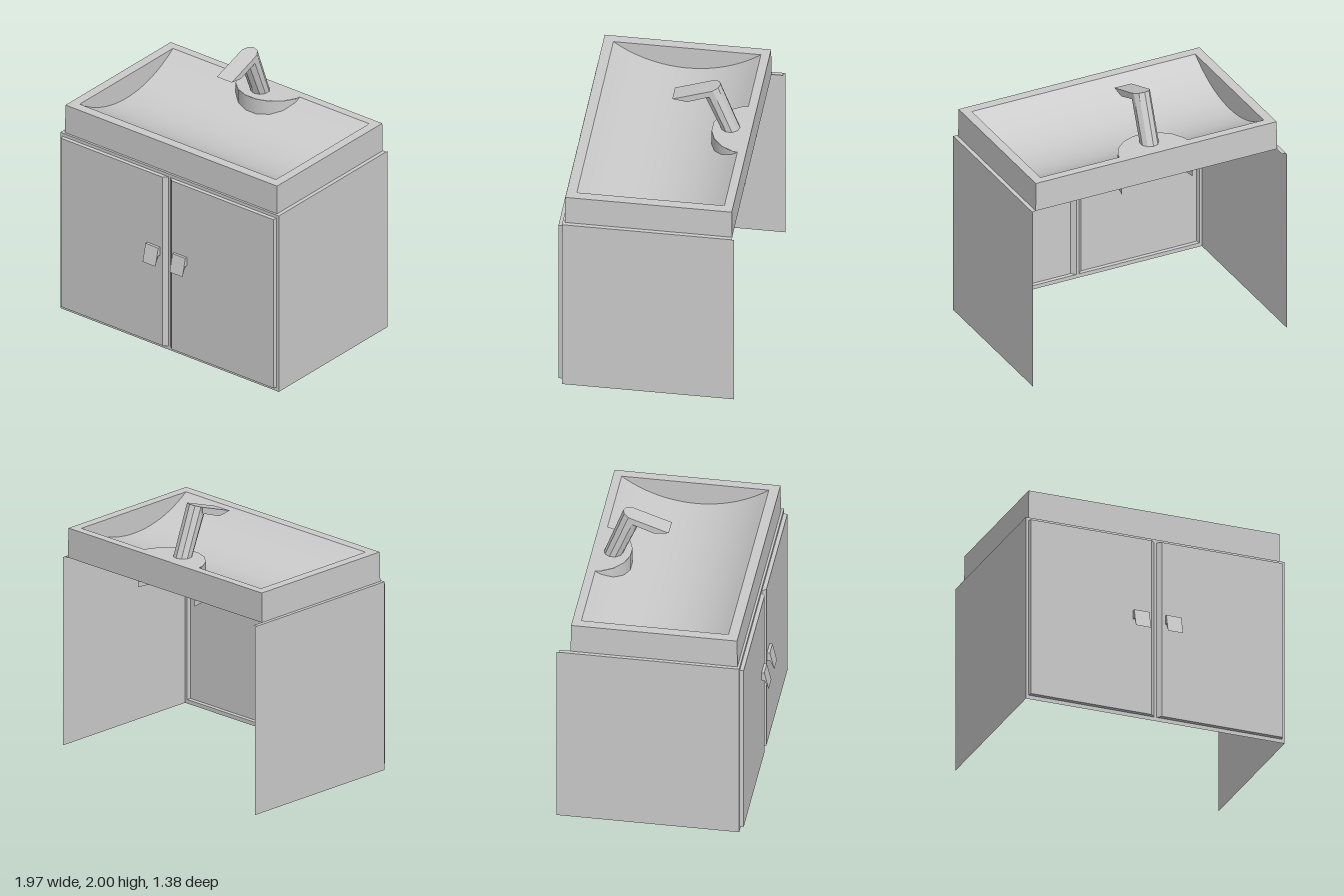
import * as THREE from 'three';
import { toCreasedNormals } from 'three/addons/utils/BufferGeometryUtils.js';

const grey = new THREE.MeshStandardMaterial({ color: 0xcccccc, side: THREE.DoubleSide });

function add(parent, name, geometry, flat = false) {
  const mesh = new THREE.Mesh(flat ? toCreasedNormals(geometry, 0.1) : geometry, grey);
  mesh.name = name;
  parent.add(mesh);
  return mesh;
}

// Skin through closed rings of [x, y, z] points, optionally capping the last ring
function loft(rings, cap = false) {
  const n = rings[0].length, index = [];
  for (let r = 0; r < rings.length - 1; r++) {
    for (let i = 0; i < n; i++) {
      const a = r * n + i, b = r * n + (i + 1) % n;
      index.push(a, b, b + n, a, b + n, a + n);
    }
  }
  const last = (rings.length - 1) * n;
  if (cap) for (let i = 1; i < n - 1; i++) index.push(last, last + i, last + i + 1);
  const g = new THREE.BufferGeometry();
  g.setAttribute('position', new THREE.Float32BufferAttribute(rings.flat(2), 3));
  g.setIndex(index);
  return toCreasedNormals(g, 0.1);
}

const rectXZ = (x0, x1, z0, z1, y) => [[x0, y, z1], [x1, y, z1], [x1, y, z0], [x0, y, z0]];
const rectXY = (x0, x1, y0, y1, z) => [[x0, y0, z], [x1, y0, z], [x1, y1, z], [x0, y1, z]];

function rectShape(x0, y0, x1, y1, Type = THREE.Shape) {
  return new Type([[x0, y0], [x1, y0], [x1, y1], [x0, y1]].map(p => new THREE.Vector2(...p)));
}

// Extrude a (z, y) outline across x, centred on x = 0
function extrudeZY(points, width) {
  const shape = new THREE.Shape(points.map(([z, y]) => new THREE.Vector2(-z, y)));
  const g = new THREE.ExtrudeGeometry(shape, { depth: width, bevelEnabled: false });
  return g.translate(0, 0, -width / 2).rotateY(Math.PI / 2);
}

function createCabinet() {
  const cabinet = new THREE.Group();
  cabinet.name = 'cabinet';
  const W = 0.985, H = 1.41, F = 0.612;

  // Open-backed carcass of thin sheets; the right panel runs deeper
  for (const [side, name, back] of [[1, 'leftPanel', -0.612], [-1, 'rightPanel', -0.69]]) {
    const depth = F - back;
    const panel = new THREE.PlaneGeometry(depth, H).rotateY(side * Math.PI / 2);
    add(cabinet, name, panel.translate(side * W, H / 2, (F + back) / 2));
    const edge = new THREE.PlaneGeometry(0.03, depth - 0.015).rotateX(-Math.PI / 2);
    add(cabinet, name + 'TopEdge', edge.translate(side * (W - 0.015), H, (F + back + 0.015) / 2));
  }
  const frontEdge = new THREE.PlaneGeometry(2 * W - 0.06, 0.03).rotateX(-Math.PI / 2);
  add(cabinet, 'frontTopEdge', frontEdge.translate(0, H, F - 0.015));

  // Front frame with two door openings
  const frame = rectShape(-W, 0, W, H);
  for (const x of [-0.965, 0.01]) frame.holes.push(rectShape(x, 0.03, x + 0.955, 1.385, THREE.Path));
  add(cabinet, 'frontFrame', new THREE.ShapeGeometry(frame).translate(0, 0, F));

  // Doors with a wide bevel toward the middle, and their pulls
  const pull = [[0.638, 0.75], [0.662, 0.75], [0.692, 0.68], [0.66, 0.815], [0.638, 0.815]];
  for (const [x0, x1, f0, f1, px, name] of [
    [0.01, 0.965, 0.04, 0.958, 0.122, 'left'],
    [-0.965, -0.01, -0.958, -0.04, -0.122, 'right'],
  ]) {
    add(cabinet, name + 'Door',
      loft([rectXY(x0, x1, 0.03, 1.385, F), rectXY(f0, f1, 0.032, 1.383, 0.64)], true));
    add(cabinet, name + 'DoorHandle', extrudeZY(pull, 0.115), true).position.x = px;
  }
  return cabinet;
}

function createSink() {
  const sink = new THREE.Group();
  sink.name = 'sink';
  const top = 1.63, X = 0.885, back = -0.53, front = 0.52;

  // Outer wall and flat rim
  add(sink, 'sinkRim', loft([
    rectXZ(-0.958, 0.955, -0.595, 0.595, 1.41),
    rectXZ(-0.955, 0.953, -0.592, 0.592, top),
    rectXZ(-X, X, back, front, top),
  ]));

  // Trough-shaped bowl: a shallow arc swept across x
  const half = (front - back) / 2, mid = (front + back) / 2, sag = 0.175;
  const R = (half * half + sag * sag) / (2 * sag);
  const arcY = z => top + R - sag - Math.sqrt(R * R - (z - mid) ** 2);
  const bowl = new THREE.PlaneGeometry(2 * X, 2 * half, 1, 24).rotateX(-Math.PI / 2).translate(0, 0, mid);
  const pos = bowl.attributes.position;
  for (let i = 0; i < pos.count; i++) pos.setY(i, arcY(pos.getZ(i)));
  bowl.computeVertexNormals();
  add(sink, 'bowl', bowl);

  // Vertical bowl ends
  const profile = new THREE.Shape();
  for (let i = 0; i <= 24; i++) {
    const z = back + (front - back) * i / 24;
    i ? profile.lineTo(-z, arcY(z)) : profile.moveTo(-z, arcY(z));
  }
  for (const side of [1, -1]) {
    const end = add(sink, side > 0 ? 'leftBowlEnd' : 'rightBowlEnd',
      new THREE.ShapeGeometry(profile).rotateY(Math.PI / 2));
    end.position.x = side * X;
  }

  // Half-round tap deck, open underneath
  const deck = new THREE.Group();
  deck.name = 'tapDeck';
  deck.position.set(-0.01, 0, -0.59);
  add(deck, 'deckWall', new THREE.CylinderGeometry(0.28, 0.28, 0.27, 9, 1, true, -Math.PI / 2, Math.PI)
    .translate(0, top - 0.135, 0));
  add(deck, 'deckTop', new THREE.CircleGeometry(0.28, 9, Math.PI, Math.PI)
    .rotateX(-Math.PI / 2).translate(0, top + 0.001, 0));
  sink.add(deck);
  return sink;
}

function createTap() {
  const tap = new THREE.Group();
  tap.name = 'tap';
  tap.position.x = -0.025;

  // Leaning faceted body, cut off along the slope of the spout
  const ring = (zc, height) => Array.from({ length: 10 }, (_, i) => {
    const a = i / 10 * Math.PI * 2, z = zc + 0.068 * Math.cos(a);
    return [0.068 * Math.sin(a), height(z), z];
  });
  add(tap, 'tapBody', loft([
    ring(-0.443, () => 1.62),
    ring(-0.302, z => 2 - 0.35 * (z + 0.37)),
  ], true));

  // Flat spout with an undercut tip
  const spout = [[-0.31, 1.979], [-0.035, 1.883], [-0.14, 1.868], [-0.265, 1.915], [-0.31, 1.93]];
  add(tap, 'spout', extrudeZY(spout, 0.134), true);
  return tap;
}

export function createModel() {
  const model = new THREE.Group();
  model.name = 'washbasinCabinet';
  model.add(createCabinet(), createSink(), createTap());
  return model;
}
